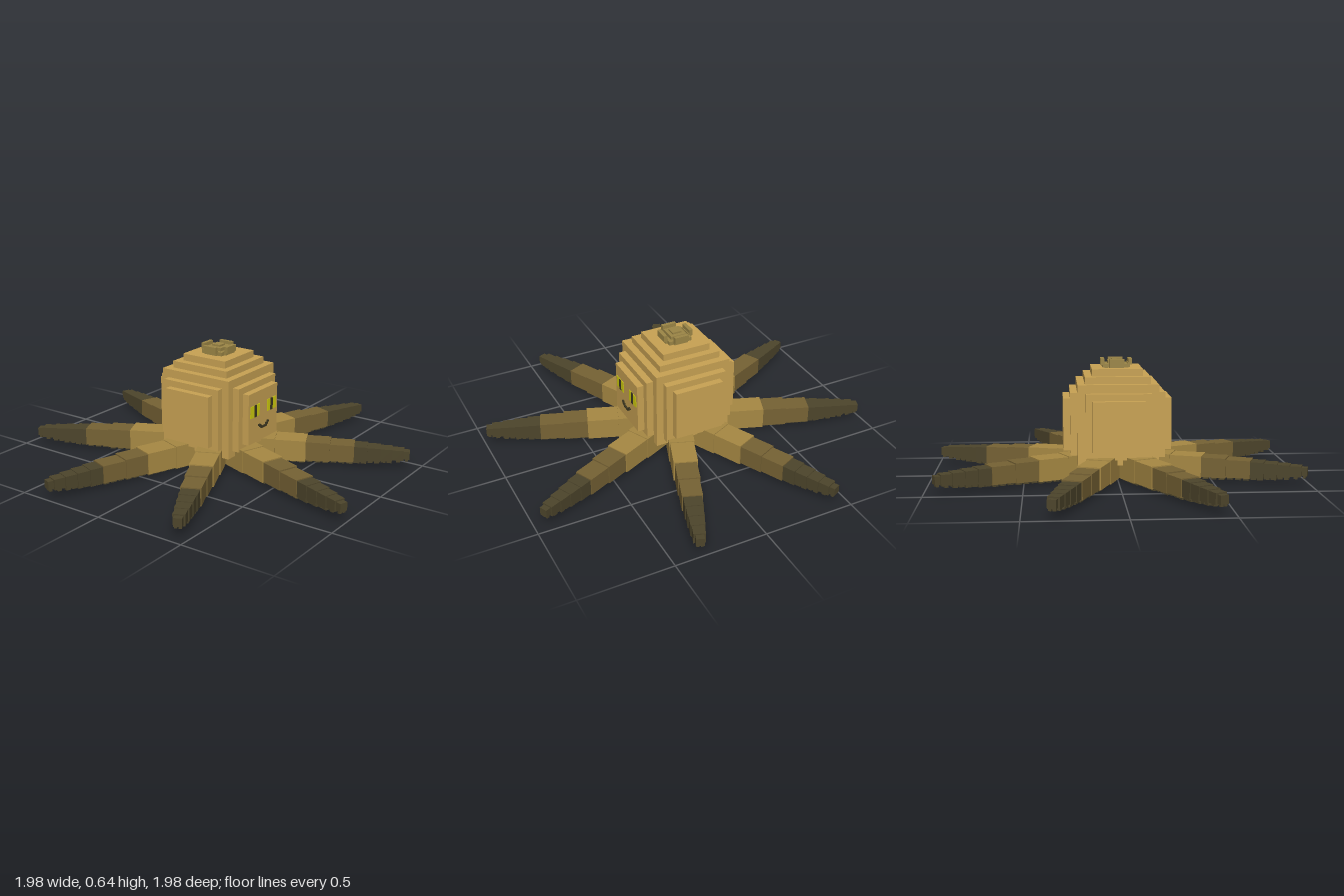
import * as THREE from 'three';

const mat = (name, color, extra = {}) => {
  const m = new THREE.MeshStandardMaterial({ color, ...extra });
  m.name = name;
  return m;
};

export function createModel() {
  const skin = mat('sandy skin', 0xc8a253);
  const armTan = mat('tan arm', 0xa68843);
  const armBrown = mat('brown arm', 0x766234);
  const armDark = mat('dark arm', 0x4d452b);
  const tuftTan = mat('olive tuft', 0x9c8646);
  const yellow = mat('eye yellow', 0xd2cf10);
  const dark = mat('dark feature', 0x3c3620);

  const model = new THREE.Group();
  model.name = 'octopus';

  // Box given by its min and max along each axis
  const box = (parent, name, material, [x0, x1], [y0, y1], [z0, z1]) => {
    const mesh = new THREE.Mesh(new THREE.BoxGeometry(x1 - x0, y1 - y0, z1 - z0), material);
    mesh.position.set((x0 + x1) / 2, (y0 + y1) / 2, (z0 + z1) / 2);
    mesh.name = name;
    parent.add(mesh);
    return mesh;
  };
  const group = (name) => {
    const g = new THREE.Group();
    g.name = name;
    model.add(g);
    return g;
  };

  // Stepped head: half width, half depth, bottom, top
  const head = group('head');
  [
    [0.29, 0.138, 0.16, 0.44], [0.138, 0.29, 0.16, 0.44],
    [0.253, 0.175, 0.125, 0.475], [0.175, 0.253, 0.125, 0.475],
    [0.215, 0.215, 0.09, 0.52],
    [0.175, 0.175, 0.5, 0.557],
    [0.136, 0.136, 0.54, 0.595],
  ].forEach(([w, d, b, t]) => box(head, 'headStep', skin, [-w, w], [b, t], [-d, d]));
  box(head, 'headUnderside', skin, [-0.14, 0.14], [0.05, 0.1], [-0.14, 0.14]);

  // Tuft on the crown: stepped knob ringed by four small fins
  const tuft = group('tuft');
  box(tuft, 'tuftBase', tuftTan, [-0.065, 0.065], [0.59, 0.615], [-0.065, 0.065]);
  box(tuft, 'tuftMiddle', tuftTan, [-0.045, 0.045], [0.61, 0.632], [-0.045, 0.045]);
  box(tuft, 'tuftTop', tuftTan, [-0.025, 0.025], [0.63, 0.642], [-0.025, 0.025]);
  for (let i = 0; i < 4; i++) {
    const fin = new THREE.Group();
    fin.name = 'tuftFin';
    fin.rotation.y = i * Math.PI / 2;
    box(fin, 'finFoot', tuftTan, [0.06, 0.075], [0.592, 0.622], [-0.04, 0.04]);
    box(fin, 'finTip', tuftTan, [0.065, 0.085], [0.608, 0.642], [-0.04, 0.04]);
    tuft.add(fin);
  }

  // Eyes and smile as thin plates on the front
  const face = group('face');
  for (const s of [-1, 1]) {
    const span = (a, b) => (s > 0 ? [a, b] : [-b, -a]);
    box(face, 'eye', yellow, span(0.037, 0.123), [0.305, 0.37], [0.288, 0.293]);
    box(face, 'pupil', dark, span(0.066, 0.088), [0.305, 0.37], [0.289, 0.295]);
    box(face, 'mouthCorner', dark, span(0.034, 0.048), [0.246, 0.255], [0.29, 0.299]);
    box(face, 'mouthSide', dark, span(0.022, 0.038), [0.236, 0.247], [0.29, 0.299]);
  }
  box(face, 'mouthBottom', dark, [-0.025, 0.025], [0.227, 0.237], [0.29, 0.299]);

  // Eight tapering arms: each segment is start, end, half width, bottom, top
  const segments = [
    [0.16, 0.32, 0.068, 0.013, 0.138, armTan],
    [0.32, 0.49, 0.064, 0.017, 0.134, armTan],
    [0.49, 0.62, 0.058, 0.022, 0.128, armBrown],
    [0.62, 0.75, 0.053, 0.026, 0.121, armBrown],
    [0.75, 0.82, 0.047, 0.031, 0.115, armDark],
    [0.82, 0.89, 0.042, 0.036, 0.111, armDark],
    [0.89, 0.955, 0.037, 0.041, 0.107, armDark],
    [0.955, 1.015, 0.031, 0.046, 0.103, armDark],
    [1.015, 1.045, 0.022, 0.052, 0.096, armDark],
  ];
  for (let i = 0; i < 8; i++) {
    const arm = group('arm');
    arm.rotation.y = -THREE.MathUtils.degToRad(20 + 45 * i);
    for (const [a, b, w, bottom, top, m] of segments) {
      box(arm, 'armSegment', m, [a, b], [bottom, top], [-w, w]);
      // Two rows of suckers under the segment
      const n = Math.max(1, Math.round((b - a) / 0.042));
      const step = (b - a) / n;
      for (let k = 0; k < n; k++) {
        const c = a + step * (k + 0.5);
        const r = Math.min(0.015, w * 0.34);
        for (const s of [-1, 1]) {
          const z = s * w * 0.5;
          box(arm, 'sucker', armDark, [c - r, c + r], [bottom - 0.012, bottom + 0.004], [z - r, z + r]);
        }
      }
    }
  }
  return model;
}
